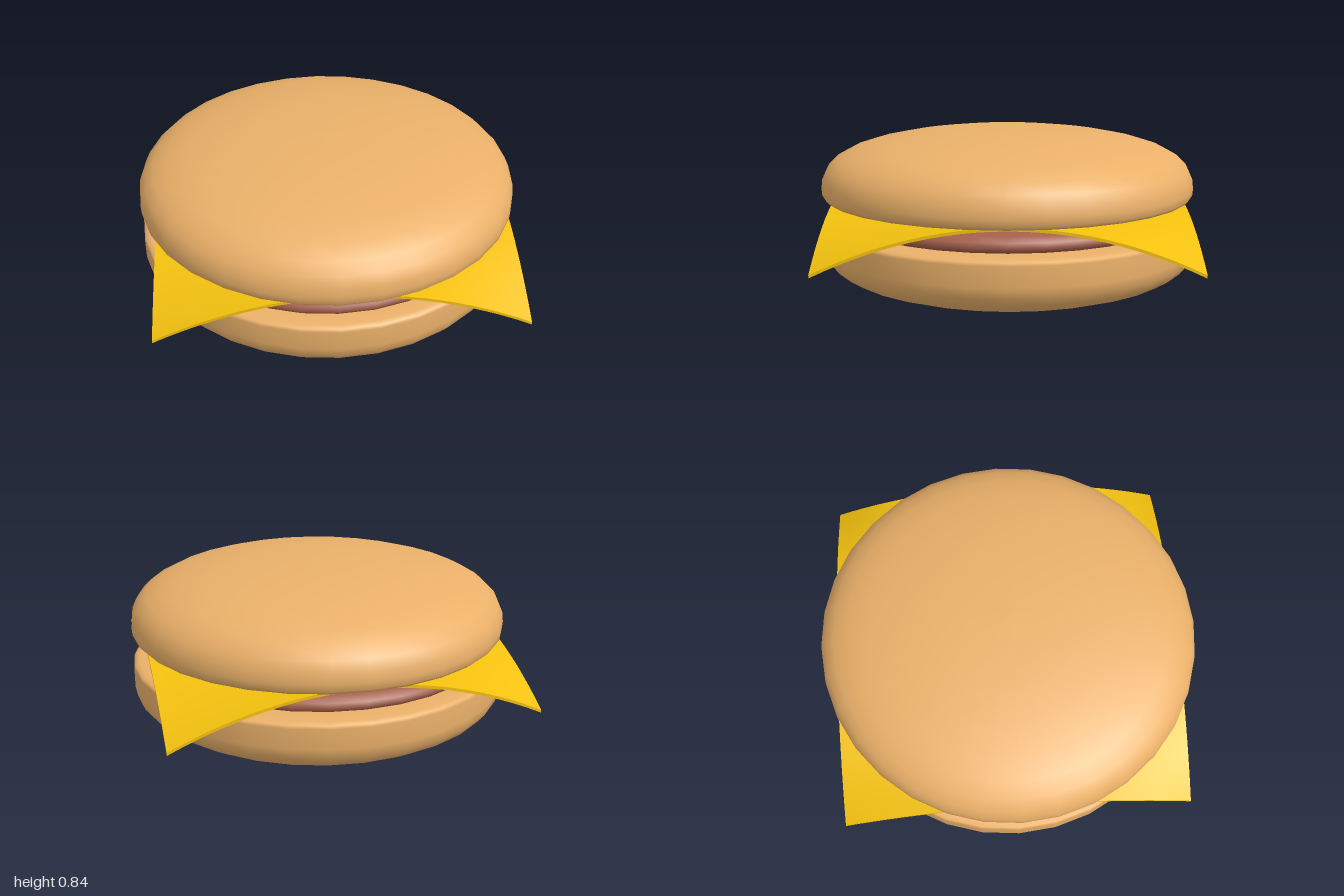
import * as THREE from 'three';

// Round layer turned from a [radius, y] profile listed from bottom to top
function roundLayer(name, color, profile, x = 0, z = 0) {
  const points = profile.map(([r, y]) => new THREE.Vector2(r, y));
  const mesh = new THREE.Mesh(
    new THREE.LatheGeometry(points, 32),
    new THREE.MeshStandardMaterial({ color })
  );
  mesh.name = name;
  mesh.position.set(x, 0, z);
  return mesh;
}

// Thin square slice whose four corners droop over the patty
function cheeseSlice() {
  const size = 1.825, half = size / 2, drop = 0.22;
  const geometry = new THREE.BoxGeometry(size, 0.015, size, 24, 1, 24);
  const p = geometry.attributes.position;
  for (let i = 0; i < p.count; i++) {
    const u = p.getX(i) / half, v = p.getZ(i) / half;
    p.setY(i, p.getY(i) + 0.483 - drop * u * u * v * v);
  }
  geometry.computeVertexNormals();
  const mesh = new THREE.Mesh(geometry, new THREE.MeshStandardMaterial({ color: 0xf2c00e }));
  mesh.name = 'cheeseSlice';
  mesh.position.x = 0.02;
  return mesh;
}

export function createModel() {
  const group = new THREE.Group();
  group.name = 'cheeseburger';
  const bun = 0xeab069;

  group.add(roundLayer('bottomBun', bun, [
    [0, 0], [0.3, 0.005], [0.6, 0.022], [0.78, 0.05], [0.88, 0.085], [0.945, 0.125],
    [0.98, 0.17], [0.99, 0.22], [0.99, 0.325], [0.983, 0.34], [0.96, 0.348], [0.9, 0.35], [0, 0.35],
  ], 0, -0.006));

  group.add(roundLayer('patty', 0xa45f4a, [
    [0, 0.345], [0.8, 0.347], [0.86, 0.353], [0.895, 0.367], [0.905, 0.385],
    [0.9, 0.41], [0.87, 0.435], [0.8, 0.455], [0.65, 0.468], [0, 0.474],
  ], -0.005));

  group.add(cheeseSlice());

  group.add(roundLayer('topBun', bun, [
    [0, 0.475], [0.85, 0.475], [0.93, 0.479], [0.97, 0.487], [0.987, 0.505], [0.99, 0.54],
    [0.985, 0.59], [0.96, 0.645], [0.91, 0.695], [0.83, 0.738], [0.72, 0.773],
    [0.56, 0.805], [0.38, 0.828], [0.2, 0.839], [0, 0.843],
  ], 0, 0.006));

  return group;
}
